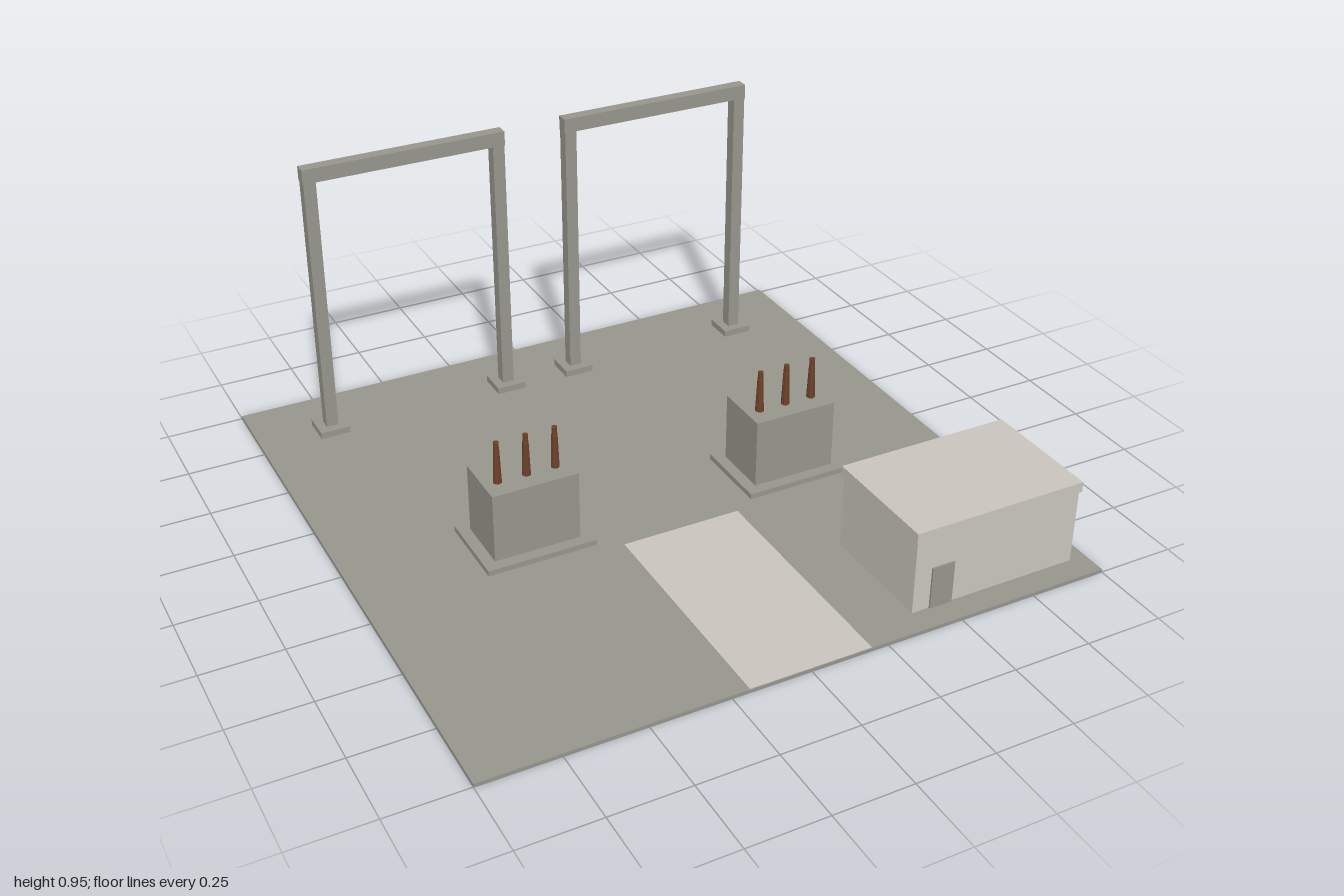
import * as THREE from 'three';

const concrete = new THREE.MeshStandardMaterial({ name: 'grey concrete', color: 0x97968c });
const pale = new THREE.MeshStandardMaterial({ name: 'pale plaster', color: 0xc9c5bd });
const brown = new THREE.MeshStandardMaterial({ name: 'brown ceramic', color: 0x6e4029 });
brown.flatShading = true;

// Box from its centre in plan, its bottom height and its size
function box(parent, name, material, x, y, z, w, h, d) {
  const mesh = new THREE.Mesh(new THREE.BoxGeometry(w, h, d), material);
  mesh.name = name;
  mesh.position.set(x, y + h / 2, z);
  parent.add(mesh);
  return mesh;
}

function namedGroup(parent, name, x, z) {
  const group = new THREE.Group();
  group.name = name;
  group.position.set(x, 0, z);
  parent.add(group);
  return group;
}

const GROUND = 0.01;

// Portal frame: two posts on footings with a beam across the top
function addGantry(parent, name, x) {
  const g = namedGroup(parent, name, x, -0.79);
  for (const [side, s] of [['left', 1], ['right', -1]]) {
    box(g, side + 'Footing', concrete, s * 0.315, GROUND, 0, 0.1, 0.022, 0.1);
    box(g, side + 'Post', concrete, s * 0.315, 0.032, 0, 0.04, 0.87, 0.04);
  }
  box(g, 'beam', concrete, 0, 0.902, 0, 0.674, 0.048, 0.04);
}

// Transformer: pad, tank and three tapered bushings
function addTransformer(parent, name, x) {
  const g = namedGroup(parent, name, x, 0.076);
  box(g, 'pad', concrete, 0, GROUND, 0, 0.352, 0.018, 0.264);
  box(g, 'tank', concrete, 0, 0.028, 0, 0.278, 0.227, 0.19);
  const profile = [[0, 0], [0.014, 0], [0.01, 0.11], [0.009, 0.115], [0.009, 0.138], [0, 0.138]]
    .map(([r, y]) => new THREE.Vector2(r, y));
  const geometry = new THREE.LatheGeometry(profile, 8);
  for (let i = -1; i <= 1; i++) {
    const bushing = new THREE.Mesh(geometry, brown);
    bushing.name = 'bushing' + (i + 2);
    bushing.position.set(i * 0.093, 0.255, 0.028);
    g.add(bushing);
  }
}

export function createModel() {
  const model = new THREE.Group();
  model.name = 'substation';

  // Yard and access drive
  box(model, 'ground', concrete, 0, 0, 0, 2, GROUND, 2);
  box(model, 'driveway', pale, -0.001, GROUND, 0.624, 0.39, 0.003, 0.752);

  for (const [side, x] of [['left', 0.441], ['right', -0.444]]) {
    addGantry(model, side + 'Gantry', x);
    addTransformer(model, side + 'Transformer', x);
  }

  // Control building with a flat roof slab and a front door
  const house = namedGroup(model, 'controlBuilding', 0.663, 0.73);
  box(house, 'walls', pale, 0, GROUND, 0, 0.562, 0.245, 0.38);
  box(house, 'roof', pale, 0, 0.255, 0, 0.574, 0.033, 0.392);
  box(house, 'door', concrete, -0.186, GROUND, 0.192, 0.075, 0.14, 0.008);

  return model;
}
